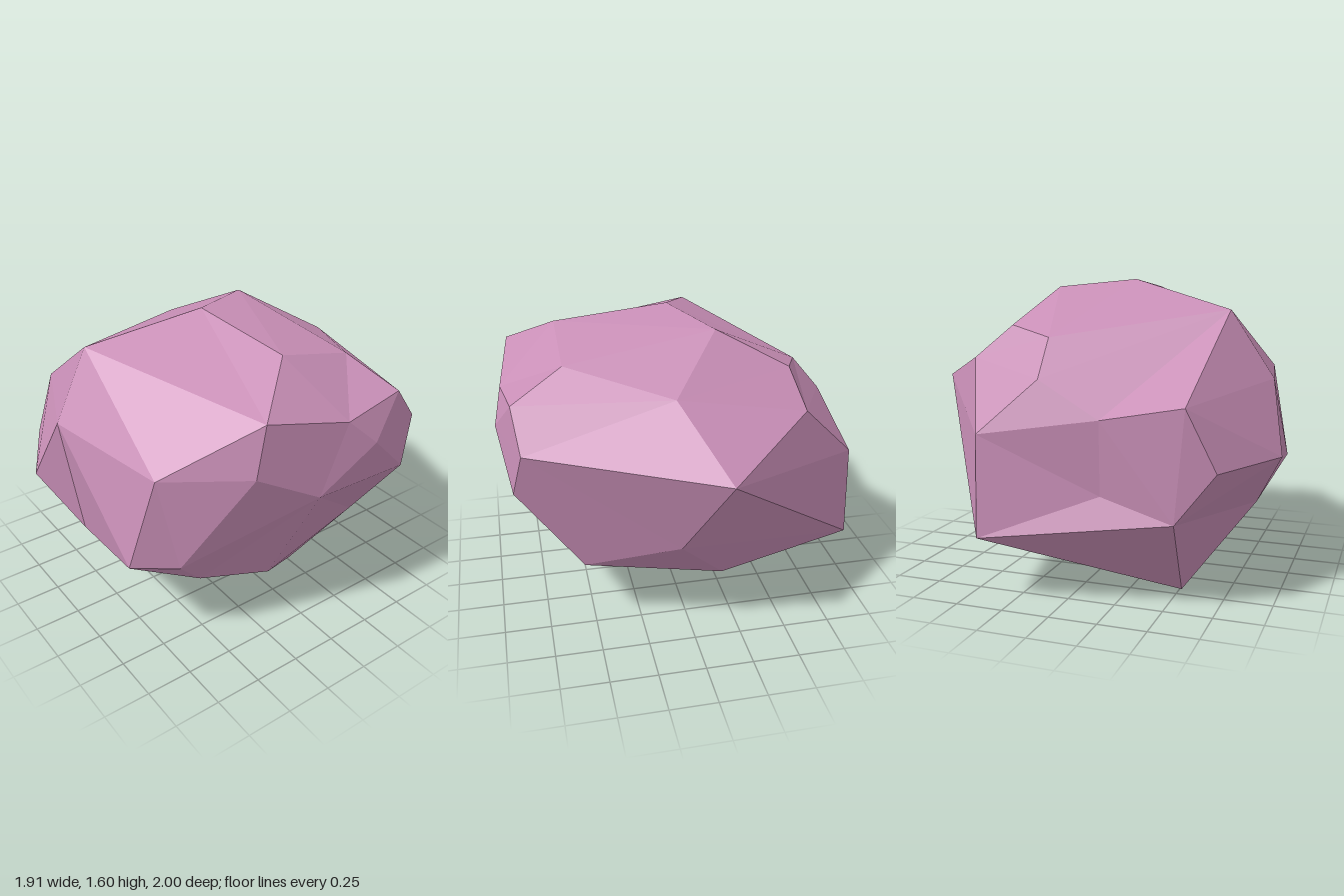
import * as THREE from 'three';

// Corners of the boulder, grouped by region
const corners = {
  // crown
  A: [-0.24, 1.45, 0.70], B: [-0.02, 1.60, 0.12], C: [0.60, 1.55, 0.08], D: [0.85, 1.38, 0.37],
  E: [-0.20, 1.56, -0.26], F: [-0.68, 1.32, -0.12], G: [0.60, 1.45, -0.34], H: [0.87, 1.31, -0.46],
  g: [-0.57, 1.37, -0.37], h: [0.08, 1.34, -0.62],
  // left flank
  I: [0.91, 1.27, -0.09], J: [0.95, 1.12, -0.25], K: [0.84, 1.11, -0.62], L: [0.91, 0.90, 0.07],
  M: [0.86, 1.11, 0.43], i: [0.89, 0.86, -0.52], P: [0.61, 0.56, 0.70],
  // front
  N: [0.57, 1.09, 0.80], O: [0.47, 0.57, 0.91], V: [-0.14, 0.43, 0.84], W: [-0.18, 1.10, 0.92],
  X: [-0.36, 0.73, 1.00], Y: [-0.80, 0.72, 0.77], Z: [-0.86, 1.03, 0.63],
  // right flank
  a: [-0.82, 0.46, 0.57], b: [-0.96, 0.34, -0.40], c: [-0.94, 0.86, -0.40], d: [-0.84, 1.13, -0.11],
  m: [-0.86, 0.95, 0.21], n: [-0.82, 0.57, 0.20],
  // back
  e: [-0.12, 1.04, -1.00], f: [-0.61, 1.20, -0.57], k: [0.08, 0.59, -0.77], j: [0.55, 0.39, -0.52],
  // underside
  Q: [0.55, 0.38, 0.54], R: [0.62, 0.28, 0.14], S: [0.47, 0.15, -0.14], T: [0, 0.06, -0.08],
  U: [-0.43, 0, 0.51], l: [-0.22, 0.20, -0.46],
};

// Fans of chipped facets: hub corner first, then the corners around it
const fans = [
  'AWNDBFdmZW', 'ECGhgFBC', 'CBDIG', 'HJIGh',   // crown
  'LMPQRjiJIDM', 'KHJijkehH',                   // left flank and back
  'NDMPOW', 'VWXaUQOW', 'ZWXY', 'OQP',          // front
  'aXYZmnbU', 'cdmnbe', 'fhecdFgh',             // right flank
  'UQRSTlb', 'jRSlk', 'STl', 'blke',            // underside
];

function facetGeometry() {
  const centre = new THREE.Vector3(0, 0.8, 0);
  const normal = new THREE.Vector3();
  const triangle = new THREE.Triangle();
  const points = [];
  for (const fan of fans) {
    const [hub, ...ring] = [...fan].map((key) => new THREE.Vector3(...corners[key]));
    for (let s = 0; s < ring.length - 1; s++) {
      // turn every facet to face away from the centre
      triangle.set(hub, ring[s], ring[s + 1]).getNormal(normal);
      const outward = normal.dot(hub.clone().sub(centre)) > 0;
      points.push(hub, ...(outward ? [ring[s], ring[s + 1]] : [ring[s + 1], ring[s]]));
    }
  }
  const geometry = new THREE.BufferGeometry().setFromPoints(points);
  geometry.computeVertexNormals();
  return geometry;
}

export function createModel() {
  const stone = new THREE.MeshStandardMaterial({ color: 0xc98fb7, flatShading: true });
  stone.name = 'pink stone';

  const boulder = new THREE.Mesh(facetGeometry(), stone);
  boulder.name = 'boulder';

  const model = new THREE.Group();
  model.name = 'rock';
  model.add(boulder);
  return model;
}
